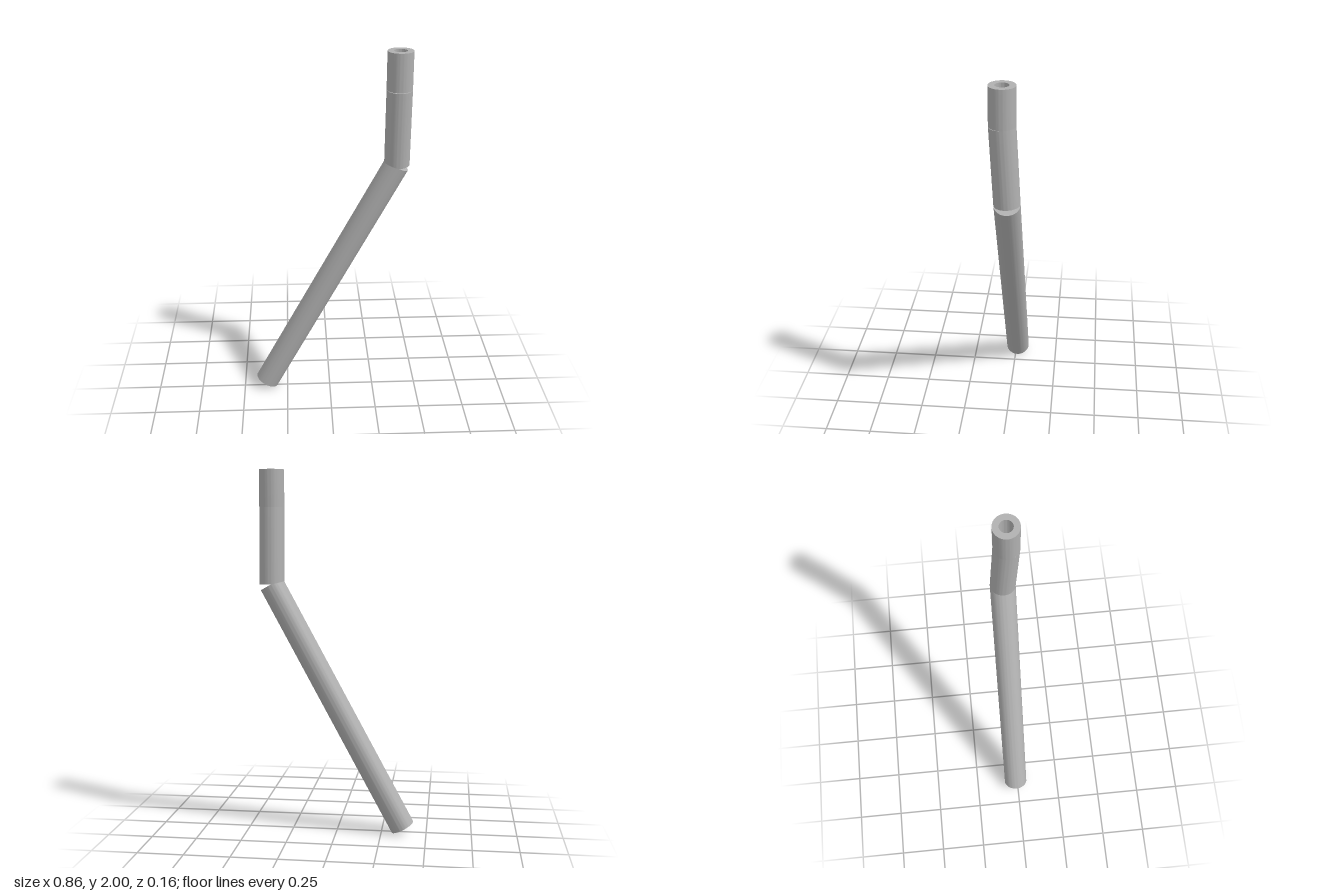
import * as THREE from 'three';
import { toCreasedNormals } from 'three/addons/utils/BufferGeometryUtils.js';

const OUTER = 0.068, INNER = 0.035;

// Hollow pipe with square-cut ends running from one point to another
function pipe(name, from, to, material) {
  const axis = to.clone().sub(from);
  const h = axis.length();
  const profile = [[INNER, 0], [OUTER, 0], [OUTER, h], [INNER, h], [INNER, 0]]
    .map(([r, y]) => new THREE.Vector2(r, y));
  const geometry = toCreasedNormals(new THREE.LatheGeometry(profile, 64), 0.6);
  const mesh = new THREE.Mesh(geometry, material);
  mesh.name = name;
  mesh.position.copy(from);
  mesh.quaternion.setFromUnitVectors(new THREE.Vector3(0, 1, 0), axis.normalize());
  return mesh;
}

export function createModel() {
  const group = new THREE.Group();
  group.name = 'bentPipe';
  const metal = new THREE.MeshStandardMaterial({ color: 0xb0b0b0 });
  metal.name = 'grey metal';

  // Centreline joints from the foot to the open top
  const joints = [
    [-0.368, 0.032, -0.011],
    [0.36, 1.381, -0.011],
    [0.36, 1.797, 0.011],
    [0.36, 2, 0.011],
  ].map((p) => new THREE.Vector3(...p));

  ['lowerPipe', 'middlePipe', 'upperPipe'].forEach((name, i) => {
    group.add(pipe(name, joints[i], joints[i + 1], metal));
  });
  return group;
}
